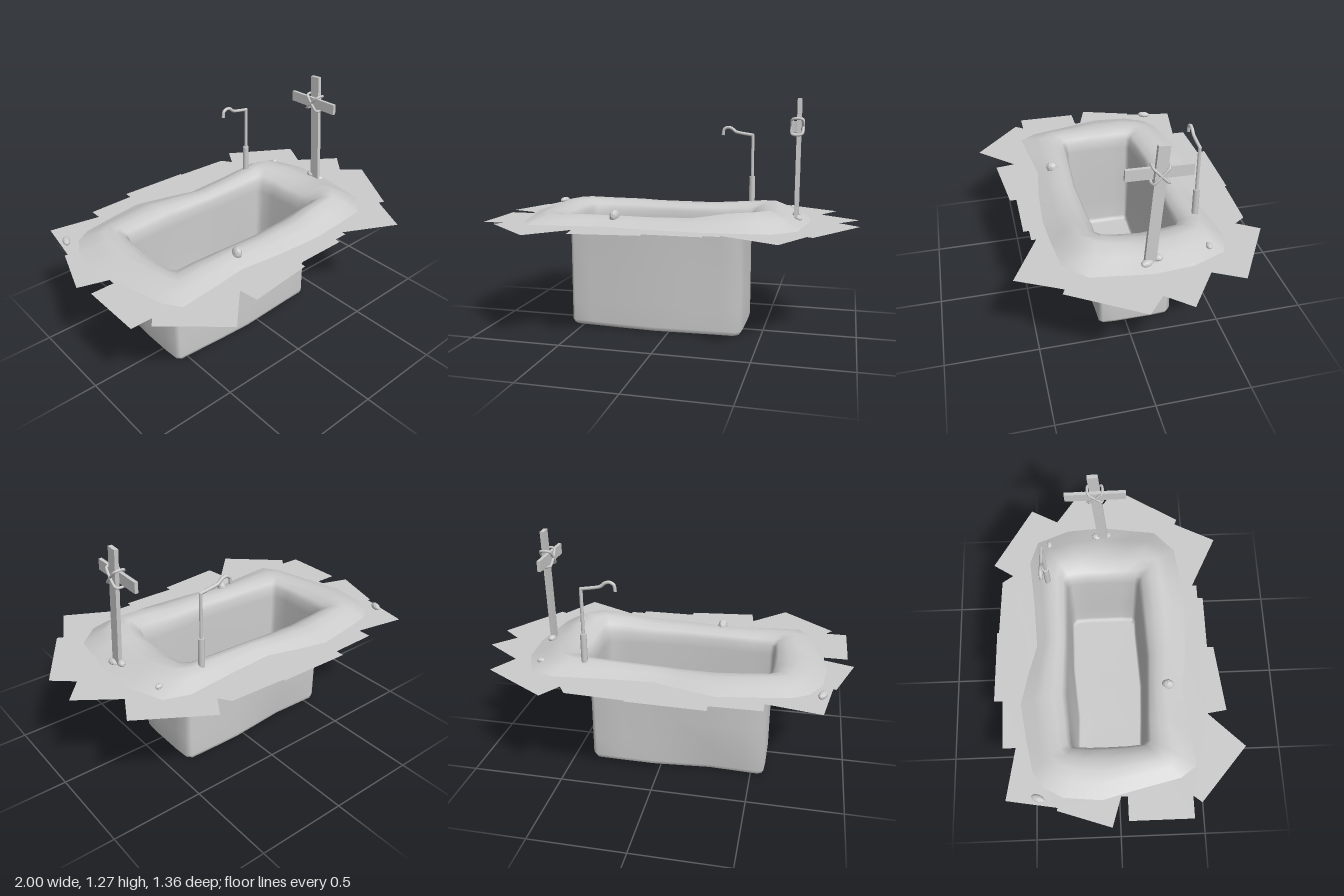
import * as THREE from 'three';

const GROUND = 0.61;
const smooth = new THREE.MeshStandardMaterial({ color: 0xcccccc, side: THREE.DoubleSide });
const faceted = new THREE.MeshStandardMaterial({ color: 0xcccccc, flatShading: true });

// Around the grave: outer mound x, z, crest height, pit wall x, z
const COLUMNS = [
  [-0.70, -0.46, 0.665, -0.55, -0.255], [-0.55, -0.49, 0.66, -0.45, -0.262],
  [-0.33, -0.525, 0.655, -0.28, -0.275], [-0.15, -0.48, 0.65, -0.10, -0.27],
  [0.00, -0.435, 0.65, 0.05, -0.265], [0.25, -0.45, 0.66, 0.22, -0.262],
  [0.52, -0.475, 0.675, 0.37, -0.26], [0.65, -0.43, 0.68, 0.395, -0.235],
  [0.72, -0.25, 0.675, 0.40, -0.15], [0.735, -0.05, 0.66, 0.40, -0.05],
  [0.71, 0.12, 0.68, 0.40, 0.06], [0.69, 0.26, 0.70, 0.395, 0.13],
  [0.57, 0.37, 0.70, 0.375, 0.15], [0.40, 0.39, 0.69, 0.28, 0.152],
  [0.20, 0.405, 0.66, 0.12, 0.16], [-0.05, 0.39, 0.655, -0.08, 0.17],
  [-0.30, 0.36, 0.655, -0.30, 0.16], [-0.50, 0.385, 0.655, -0.45, 0.15],
  [-0.70, 0.405, 0.65, -0.55, 0.145], [-0.76, 0.32, 0.66, -0.57, 0.125],
  [-0.81, 0.10, 0.655, -0.575, 0.04], [-0.86, -0.10, 0.655, -0.575, -0.06],
  [-0.84, -0.30, 0.665, -0.575, -0.15], [-0.78, -0.41, 0.665, -0.57, -0.235],
];

// Outline of the overlapping ground slabs (x, z)
const OUTLINE = [
  [-0.845, -0.6], [-0.57, -0.55], [-0.57, -0.62], [-0.31, -0.625], [-0.31, -0.67], [0.09, -0.66],
  [0.09, -0.65], [0.4, -0.635], [0.44, -0.575], [0.51, -0.685], [0.865, -0.465], [0.785, -0.315],
  [0.995, -0.165], [0.89, -0.045], [0.995, 0.045], [0.775, 0.4], [0.745, 0.385], [0.63, 0.61],
  [0.34, 0.46], [0.34, 0.485], [0.26, 0.485], [0.26, 0.515], [-0.04, 0.515], [-0.04, 0.55],
  [-0.405, 0.59], [-0.42, 0.485], [-0.605, 0.675], [-0.89, 0.42], [-0.855, 0.375], [-0.97, 0.375],
  [-0.97, 0.035], [-0.845, 0.035], [-0.845, 0], [-1, -0.05], [-0.905, -0.335], [-0.89, -0.33],
];

function add(parent, name, geometry, material = faceted) {
  const mesh = new THREE.Mesh(geometry, material);
  mesh.name = name;
  parent.add(mesh);
  return mesh;
}

// Mound, lip, pit walls and floor as one skin of stacked rings
function pitGeometry() {
  const rise = (k) => (crest) => GROUND + (crest - GROUND) * k;
  const level = (y) => () => y;
  // blend from outer edge to pit wall, height, scale about pit centre
  const rings = [
    [0, rise(0), 1], [0.28, rise(0.6), 1], [0.5, rise(1), 1], [0.72, rise(0.85), 1],
    [0.9, rise(0.45), 1], [0.97, level(0.605), 1], [1, level(0.55), 1], [1, level(0.3), 1],
    [1, level(0.15), 1], [1, level(0.025), 1], [1, level(0.006), 0.98], [1, level(0), 0.94], [1, level(0), 0],
  ];
  const n = COLUMNS.length, pos = [], index = [];
  const cx = -0.085, cz = -0.055;
  rings.forEach(([t, height, s], r) => {
    COLUMNS.forEach(([ox, oz, crest, px, pz], i) => {
      const y = height(crest);
      // the back wall is dented inward near its foot
      const dent = pz < -0.25 ? 0.04 * Math.max(0, 1 - y / 0.3) * Math.max(0, 1 - Math.abs(px + 0.28) / 0.35) : 0;
      const x = ox + (px - ox) * t, z = oz + (pz - oz) * t + dent;
      pos.push(cx + (x - cx) * s, y, cz + (z - cz) * s);
      if (r === rings.length - 1) return;
      const a = r * n + i, b = r * n + (i + 1) % n;
      index.push(a, a + n, b);
      if (r < rings.length - 2) index.push(b, a + n, b + n);
    });
  });
  const g = new THREE.BufferGeometry();
  g.setAttribute('position', new THREE.Float32BufferAttribute(pos, 3));
  g.setIndex(index);
  g.computeVertexNormals();
  return g;
}

function groundGeometry() {
  const toShape = ([x, z]) => new THREE.Vector2(x, -z);
  const shape = new THREE.Shape(OUTLINE.map(toShape));
  const hole = [[-0.61, -0.3], [0.43, -0.3], [0.43, 0.19], [-0.61, 0.19]];
  shape.holes.push(new THREE.Path(hole.map(toShape)));
  return new THREE.ShapeGeometry(shape).rotateX(-Math.PI / 2).translate(0, GROUND, 0);
}

function tube(points, radius, closed = false) {
  const curve = new THREE.CatmullRomCurve3(points.map((p) => new THREE.Vector3(...p)), closed, 'catmullrom', 0.3);
  return new THREE.TubeGeometry(curve, 32, radius, 8, closed);
}

export function createModel() {
  const model = new THREE.Group();
  model.name = 'openGrave';

  add(model, 'ground', groundGeometry(), smooth);
  add(model, 'moundAndPit', pitGeometry(), smooth);

  // Leaning wooden cross
  const cross = new THREE.Group();
  cross.name = 'cross';
  cross.position.set(0.662, 0.937, -0.067);
  model.add(cross);
  const lean = -0.07;
  add(cross, 'crossPost', new THREE.BoxGeometry(0.022, 0.66, 0.057)).rotation.x = lean;
  const bar = add(cross, 'crossBar', new THREE.BoxGeometry(0.018, 0.058, 0.324));
  bar.position.set(-0.02, 0.181, -0.013);
  bar.rotation.x = -0.02;

  // Rope lashing: two diagonal loops round post and bar
  for (const side of [-1, 1]) {
    const loop = [[0.018, 0.052, 0], [0.018, -0.052, 0], [-0.036, -0.052, 0], [-0.036, 0.052, 0]];
    const rope = add(cross, 'ropeLashing', tube(loop, 0.007, true), smooth);
    rope.position.set(0, 0.181, -0.013);
    rope.rotation.x = side * 0.75;
  }

  // Lamp pole with a thick socket and curled hook
  const pole = new THREE.Group();
  pole.name = 'hookPole';
  pole.position.set(0.376, 0, -0.368);
  model.add(pole);
  add(pole, 'poleSocket', new THREE.CylinderGeometry(0.017, 0.017, 0.22, 12), smooth).position.y = 0.705;
  add(pole, 'poleShaft', new THREE.CylinderGeometry(0.009, 0.009, 0.25, 10), smooth).position.y = 0.935;
  const hook = [[0.004, 1.056, 0], [-0.06, 1.066, 0], [-0.1, 1.075, 0], [-0.125, 1.095, 0],
    [-0.15, 1.101, 0], [-0.172, 1.088, 0], [-0.177, 1.055, 0]];
  add(pole, 'poleHook', tube(hook, 0.009), smooth);

  // Scattered stones: position, half sizes, turn, tilt
  const stones = [
    [-0.84, 0.625, -0.43, 0.02, 0.018, 0.038, -0.4, 0],
    [0.62, 0.638, -0.36, 0.024, 0.015, 0.016, 0, 0],
    [-0.26, 0.652, 0.278, 0.025, 0.038, 0.034, -0.3, 0.5],
    [0.672, 0.63, -0.03, 0.022, 0.02, 0.035, 0.3, 0],
    [0.66, 0.645, -0.085, 0.02, 0.018, 0.026, -0.4, 0],
    [0.376, 0.645, -0.35, 0.03, 0.014, 0.028, 0.5, 0],
  ];
  for (const [x, y, z, sx, sy, sz, turn, tilt] of stones) {
    const stone = add(model, 'stone', new THREE.IcosahedronGeometry(1, 1));
    stone.position.set(x, y, z);
    stone.scale.set(sx, sy, sz);
    stone.rotation.set(tilt, turn, 0);
  }
  return model;
}
